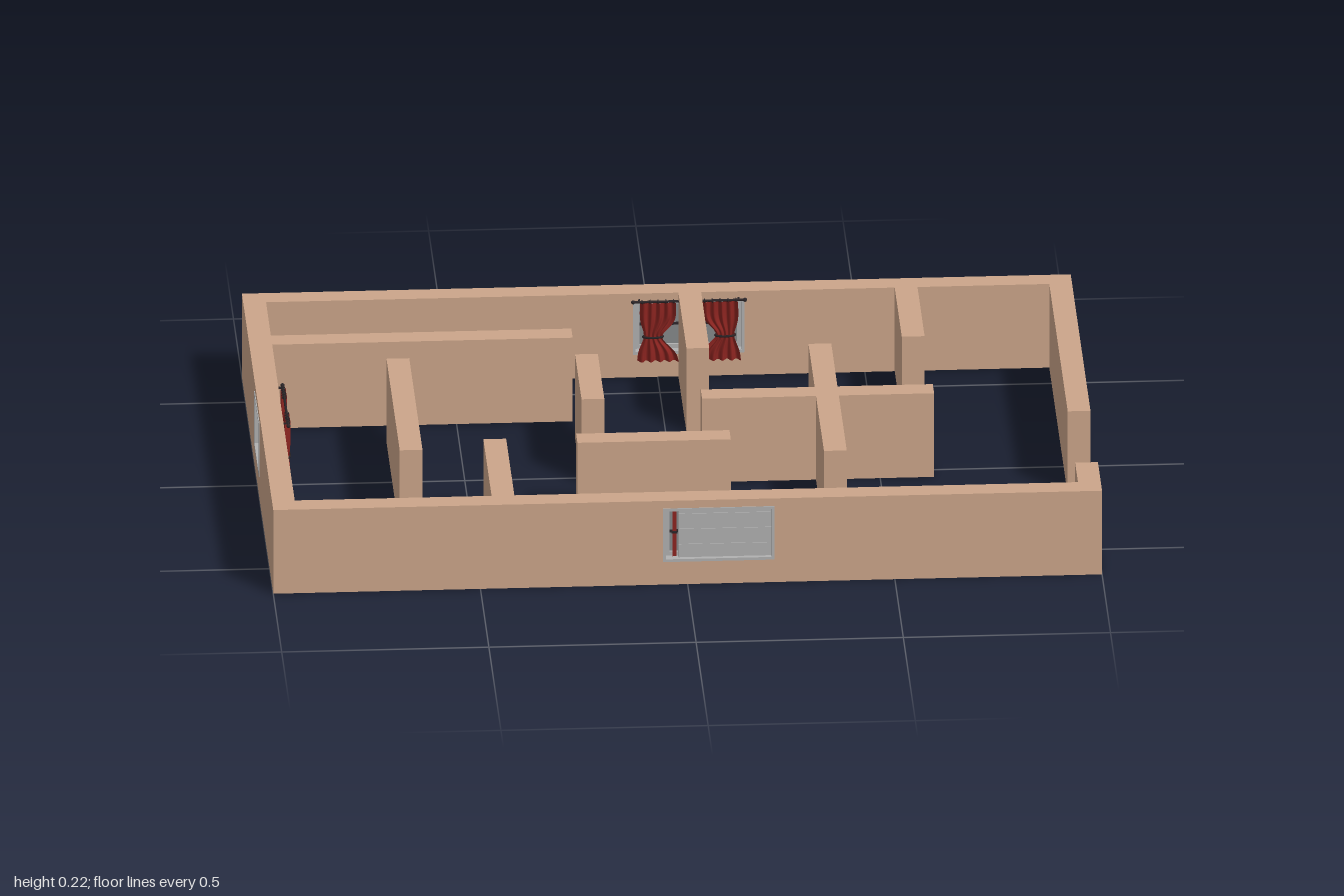
import * as THREE from 'three';

const H = 0.22, T = 0.055;
const mat = (color, side = THREE.FrontSide) => new THREE.MeshStandardMaterial({ color, side });
const wallMat = mat(0xcba58a);
const frameMat = mat(0xb0b0b0);
const glassMat = mat(0x85888a);
const darkMat = mat(0x2b2528);
const redMat = mat(0x8c2420, THREE.DoubleSide);

function add(parent, name, geometry, material, x = 0, y = 0, z = 0) {
  const m = new THREE.Mesh(geometry, material);
  m.name = name;
  m.position.set(x, y, z);
  parent.add(m);
  return m;
}

// Box given by its limits
function block(parent, name, material, x0, x1, y0, y1, z0, z1) {
  return add(parent, name, new THREE.BoxGeometry(x1 - x0, y1 - y0, z1 - z0), material,
    (x0 + x1) / 2, (y0 + y1) / 2, (z0 + z1) / 2);
}

// Pleated drape gathered at the waist by a tie
function curtainGeometry(width, height, side) {
  const g = new THREE.PlaneGeometry(1, height, 30, 16);
  const p = g.attributes.position;
  for (let i = 0; i < p.count; i++) {
    const u = p.getX(i), v = p.getY(i) / height + 0.5;
    const pinch = Math.exp(-(((v - 0.42) / 0.2) ** 2));
    const w = width * (0.85 + 0.15 * (1 - v) - 0.5 * pinch);
    p.setX(i, u * w + side * 0.012 * pinch);
    p.setZ(i, Math.sin(u * Math.PI * 9) * 0.007 * (1 - 0.4 * pinch));
  }
  g.computeVertexNormals();
  return g;
}

// Window in wall space: u along the wall, +z outward, inner face at z = 0
function windowUnit(u0, u1, drape, shutter) {
  const g = new THREE.Group();
  g.name = 'window';
  const y0 = 0.06, y1 = 0.2, f = 0.007, mid = (u0 + u1) / 2, ym = (y0 + y1) / 2;
  // Outer frame
  for (const [a, b] of [[u0, u0 + f], [u1 - f, u1]])
    block(g, 'frameJamb', frameMat, a, b, y0, y1, -0.002, T + 0.002);
  for (const [a, b] of [[y0, y0 + f], [y1 - f, y1]])
    block(g, 'frameRail', frameMat, u0 + f, u1 - f, a, b, -0.002, T + 0.002);
  // Two sashes, each with a dark crossbar
  for (const [a, b] of [[u0 + f, mid - 0.004], [mid + 0.004, u1 - f]]) {
    block(g, 'sashStile', frameMat, a, a + 0.01, y0 + f, y1 - f, 0.018, 0.034);
    block(g, 'sashStile', frameMat, b - 0.01, b, y0 + f, y1 - f, 0.018, 0.034);
    block(g, 'sashRail', frameMat, a + 0.01, b - 0.01, y0 + f, y0 + f + 0.01, 0.018, 0.034);
    block(g, 'sashRail', frameMat, a + 0.01, b - 0.01, y1 - f - 0.01, y1 - f, 0.018, 0.034);
    block(g, 'glassPane', glassMat, a + 0.01, b - 0.01, y0 + f + 0.01, y1 - f - 0.01, 0.024, 0.028);
    block(g, 'sashBar', darkMat, a + 0.01, b - 0.01, ym - 0.003, ym + 0.003, 0.02, 0.032);
  }
  block(g, 'centrePost', frameMat, mid - 0.004, mid + 0.004, y0 + f, y1 - f, 0.016, 0.036);
  // Outer sliding panel, leaving a narrow gap at one side
  if (shutter) {
    block(g, 'slidingPanel', frameMat, u0 + 0.038, u1 - f, y0 + f, y1 - f, 0.04, 0.046);
    for (const y of [0.1, 0.14, 0.18])
      block(g, 'panelRib', frameMat, u0 + 0.038, u1 - f, y - 0.002, y + 0.002, 0.046, 0.048);
    block(g, 'visibleDrapeEdge', redMat, u0 + 0.024, u0 + 0.034, y0 + f, y1 - f, 0.036, 0.039);
    block(g, 'visibleDrapeTie', darkMat, u0 + 0.022, u0 + 0.036, ym - 0.003, ym + 0.003, 0.036, 0.04);
  }
  // Rod, finials, brackets and drapes on the inside
  const rodY = 0.203, rodZ = -0.013, half = drape / 2 + 0.085;
  add(g, 'curtainRod', new THREE.CylinderGeometry(0.003, 0.003, half * 2, 10), darkMat, mid, rodY, rodZ)
    .rotation.z = Math.PI / 2;
  for (const s of [-1, 1]) {
    const c = mid + s * 0.075;
    add(g, 'rodFinial', new THREE.SphereGeometry(0.005, 10, 8), darkMat, mid + s * half, rodY, rodZ);
    block(g, 'rodBracket', darkMat, mid + s * (half - 0.015) - 0.002, mid + s * (half - 0.015) + 0.002,
      rodY - 0.002, rodY + 0.002, rodZ, 0);
    add(g, 'curtain', curtainGeometry(drape, 0.155, s), redMat, c, 0.124, rodZ);
    const tie = add(g, 'curtainTie', new THREE.TorusGeometry(drape * 0.24, 0.003, 6, 20), darkMat,
      c + s * 0.012, 0.112, rodZ);
    tie.rotation.x = Math.PI / 2;
    tie.scale.y = 0.4;
    for (let i = -2; i <= 2; i++)
      add(g, 'curtainRing', new THREE.TorusGeometry(0.0045, 0.0012, 5, 12), darkMat,
        c + i * drape * 0.19, rodY, rodZ).rotation.y = Math.PI / 2;
  }
  return g;
}

// Outer wall with a window opening, built facing +z
function windowWall(name, a, b, u0, u1, drape, shutter) {
  const g = new THREE.Group();
  g.name = name;
  const shape = new THREE.Shape([[a, 0], [b, 0], [b, H], [a, H]].map(p => new THREE.Vector2(...p)));
  shape.holes.push(new THREE.Path([[u0, 0.06], [u0, 0.2], [u1, 0.2], [u1, 0.06]]
    .map(p => new THREE.Vector2(...p))));
  add(g, 'wallPanel', new THREE.ExtrudeGeometry(shape, { depth: T, bevelEnabled: false }), wallMat);
  g.add(windowUnit(u0, u1, drape, shutter));
  return g;
}

export function createModel() {
  const model = new THREE.Group();
  model.name = 'floorPlan';

  // Outer walls
  const front = windowWall('frontWall', -1, 1, -0.06, 0.21, 0.1, true);
  front.position.z = 0.65 - T;
  const back = windowWall('backWall', -1, 1, -0.21, 0.06, 0.1, false);
  back.rotation.y = Math.PI;
  back.position.z = -0.65 + T;
  const side = windowWall('rightWall', -0.65 + T, 0.65 - T, -0.11, 0.085, 0.075, false);
  side.rotation.y = -Math.PI / 2;
  side.position.x = -1 + T;
  model.add(front, back, side);

  // Left wall, split by the entrance
  block(model, 'leftWallRear', wallMat, 1 - T, 1, 0, H, -0.65 + T, 0.17);
  block(model, 'leftWallFront', wallMat, 1 - T, 1, 0, H, 0.478, 0.65 - T);

  // Inner partitions: x0, x1, z0, z1
  const partitions = [
    [-0.945, -0.22, -0.395, -0.34],
    [-0.675, -0.62, -0.24, 0.31],
    [-0.47, -0.415, 0.255, 0.595],
    [-0.22, -0.165, -0.24, 0.03],
    [-0.245, 0.125, 0.235, 0.29],
    [0.05, 0.105, -0.595, -0.26],
    [0.572, 0.627, -0.595, -0.3],
    [0.345, 0.4, -0.27, 0.373],
    [0.07, 0.345, -0.012, 0.043],
    [0.4, 0.63, -0.012, 0.043],
  ];
  for (const [x0, x1, z0, z1] of partitions)
    block(model, 'partitionWall', wallMat, x0, x1, 0, H, z0, z1);

  return model;
}
